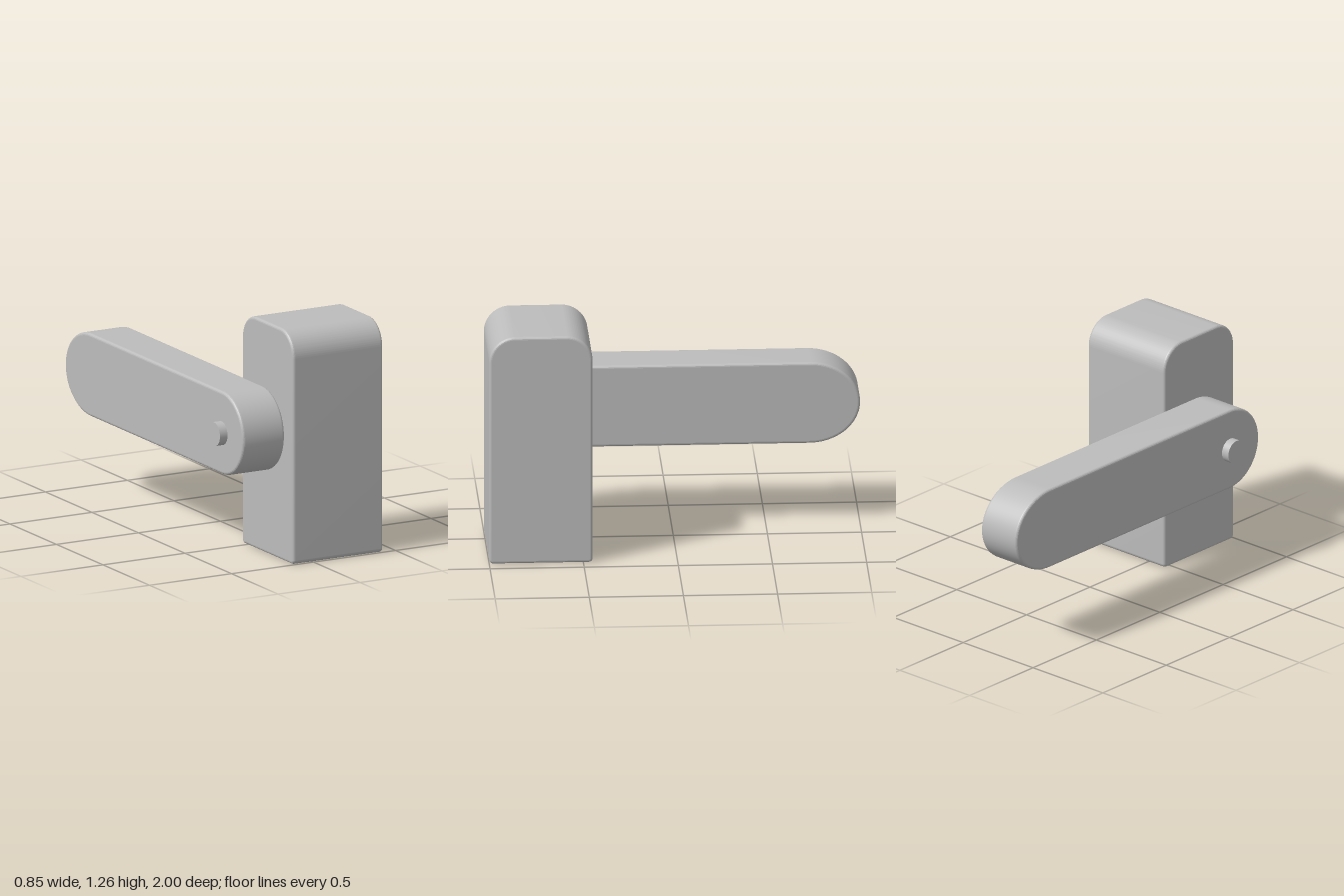
import * as THREE from 'three';
import { toCreasedNormals } from 'three/addons/utils/BufferGeometryUtils.js';

const BEVEL = 0.015;

// Extrudes a side profile (drawn as -z, y) across x0..x1 with softly rounded edges
function sideExtrude(shape, x0, x1) {
  const geometry = new THREE.ExtrudeGeometry(shape, {
    depth: x1 - x0 - 2 * BEVEL,
    bevelThickness: BEVEL,
    bevelSize: BEVEL,
    bevelOffset: -BEVEL,
    bevelSegments: 4,
    curveSegments: 20,
  });
  geometry.translate(0, 0, x0 + BEVEL);
  geometry.rotateY(Math.PI / 2);
  return toCreasedNormals(geometry, 0.17);
}

// Upright block profile: large top radii, tiny bottom radii
function blockShape(a, b, height, top, bottom) {
  const s = new THREE.Shape();
  s.moveTo(a + bottom, 0);
  s.lineTo(b - bottom, 0);
  s.absarc(b - bottom, bottom, bottom, -Math.PI / 2, 0);
  s.lineTo(b, height - top);
  s.absarc(b - top, height - top, top, 0, Math.PI / 2);
  s.lineTo(a + top, height);
  s.absarc(a + top, height - top, top, Math.PI / 2, Math.PI);
  s.lineTo(a, bottom);
  s.absarc(a + bottom, bottom, bottom, Math.PI, Math.PI * 1.5);
  return s;
}

// Lever profile: round at the pivot, slightly longer elliptical tip
function leverShape(pivot, pivotReach, tip, tipReach, y, r) {
  const s = new THREE.Shape();
  s.moveTo(pivot, y - r);
  s.lineTo(tip, y - r);
  s.absellipse(tip, y, tipReach, r, -Math.PI / 2, Math.PI / 2);
  s.lineTo(pivot, y + r);
  s.absellipse(pivot, y, pivotReach, r, Math.PI / 2, Math.PI * 1.5);
  return s;
}

export function createModel() {
  const group = new THREE.Group();
  const grey = new THREE.MeshStandardMaterial({ color: 0xbcbcbc });
  grey.name = 'light grey';

  const add = (name, geometry) => {
    const mesh = new THREE.Mesh(geometry, grey);
    mesh.name = name;
    group.add(mesh);
    return mesh;
  };

  // Upright body at the front
  add('body', sideExtrude(blockShape(-1, -0.45, 1.265, 0.14, 0.022), -0.125, 0.425));

  // Long lever beside the body, reaching backwards
  add('lever', sideExtrude(leverShape(-0.685, 0.23, 0.73, 0.27, 0.685, 0.226), -0.382, -0.126));

  // Pivot pin standing out of the lever's outer face
  const pin = add('pivotPin', new THREE.CylinderGeometry(0.064, 0.064, 0.1, 48));
  pin.rotation.z = Math.PI / 2;
  pin.position.set(-0.378, 0.685, 0.685);

  return group;
}
